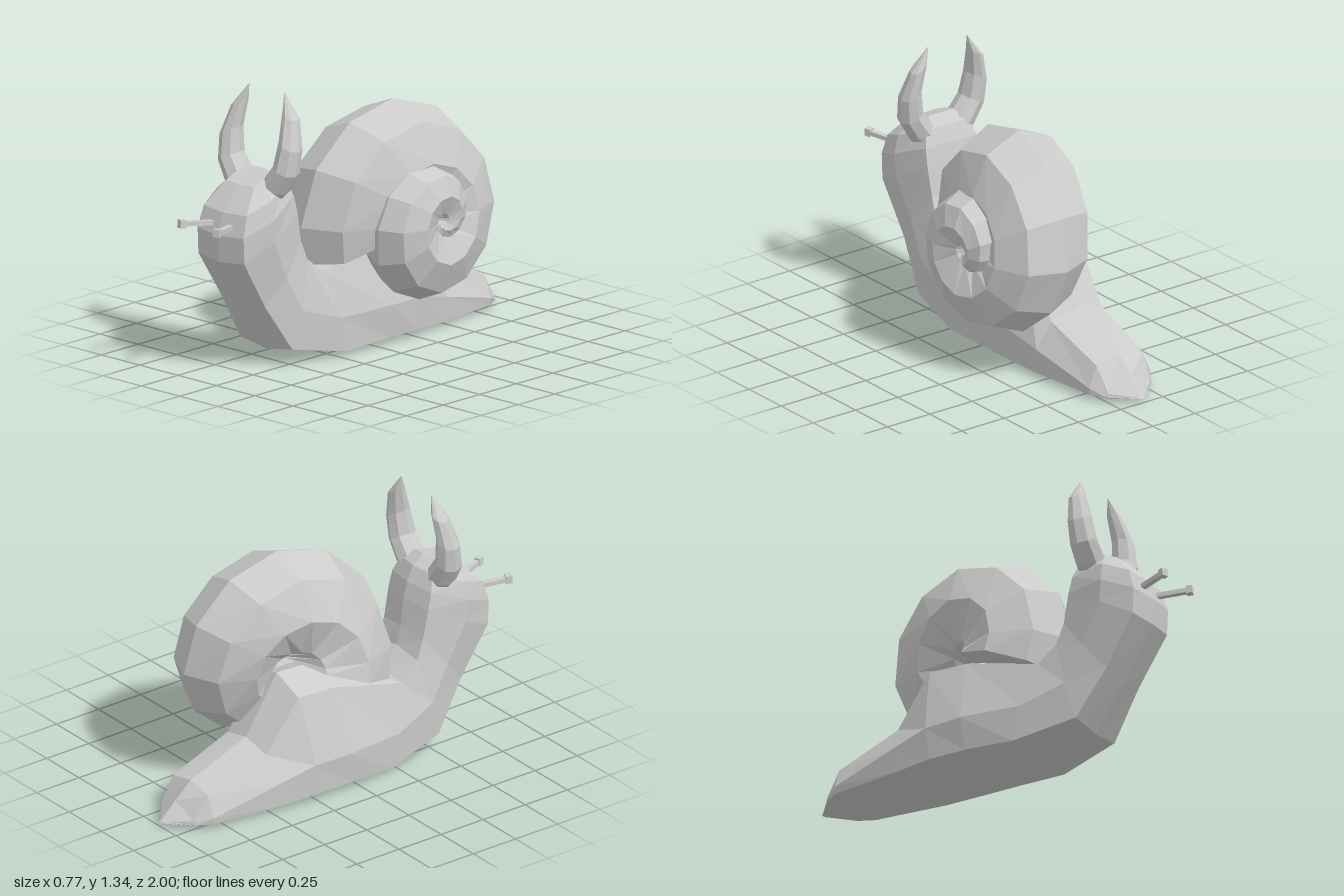
import * as THREE from 'three';

const material = new THREE.MeshStandardMaterial({ color: 0xcccccc, flatShading: true });

// Joins equal-sized rings of points into a closed, flat-shaded skin.
function loft(name, rings) {
  const n = rings[0].length, tris = [];
  for (let i = 0; i < rings.length - 1; i++) {
    for (let j = 0; j < n; j++) {
      const k = (j + 1) % n, a = rings[i], b = rings[i + 1];
      tris.push([a[j], a[k], b[k]], [a[j], b[k], b[j]]);
    }
  }
  const centre = (r) => r.reduce((s, p) => s.add(p), new THREE.Vector3()).divideScalar(n);
  const first = rings[0], last = rings[rings.length - 1];
  const c0 = centre(first), c1 = centre(last);
  for (let j = 0; j < n; j++) {
    const k = (j + 1) % n;
    tris.push([c0, first[k], first[j]], [c1, last[j], last[k]]);
  }
  // Turn the skin outwards if its enclosed volume is negative
  const cross = new THREE.Vector3();
  const volume = tris.reduce((s, [a, b, c]) => s + a.dot(cross.crossVectors(b, c)), 0);
  if (volume < 0) tris.forEach((t) => t.reverse());
  const geometry = new THREE.BufferGeometry().setFromPoints(tris.flat());
  geometry.computeVertexNormals();
  const mesh = new THREE.Mesh(geometry, material);
  mesh.name = name;
  return mesh;
}

// Body sections, tail to head: sole z, y; back z, y; half widths at sole, side, back;
// how far up the section the side and back edges lie
function createBody() {
  const sections = [
    [-1.0, 0.02, -0.99, 0.03, 0.01, 0.01, 0.01, 0.4, 0.9],
    [-0.89, 0.015, -0.91, 0.11, 0.13, 0.135, 0.125, 0.1, 0.3],
    [-0.82, 0.015, -0.82, 0.19, 0.175, 0.18, 0.135, 0.25, 0.84],
    [-0.45, 0.01, -0.49, 0.315, 0.22, 0.225, 0.15, 0.45, 0.88],
    [-0.25, 0.005, -0.31, 0.6, 0.24, 0.25, 0.16, 0.32, 0.88],
    [-0.05, 0.005, -0.1, 0.59, 0.24, 0.26, 0.165, 0.33, 0.88],
    [0.2, 0, 0.31, 0.43, 0.225, 0.225, 0.165, 0.45, 0.97],
    [0.53, 0.06, 0.4, 0.525, 0.17, 0.19, 0.155, 0.45, 0.95],
    [0.69, 0.3, 0.425, 0.62, 0.14, 0.178, 0.15, 0.45, 0.93],
    [0.85, 0.55, 0.445, 0.76, 0.15, 0.192, 0.155, 0.45, 0.93],
    [0.855, 0.68, 0.465, 0.84, 0.15, 0.195, 0.15, 0.45, 0.93],
    [0.82, 0.785, 0.5, 0.915, 0.14, 0.175, 0.125, 0.45, 0.93],
    [0.71, 0.9, 0.56, 0.955, 0.09, 0.095, 0.07, 0.45, 0.93],
  ];
  return loft('body', sections.map(([bz, by, tz, ty, wSole, wSide, wBack, tSide, tBack]) => {
    const at = (t, x) => new THREE.Vector3(x, by + (ty - by) * t, bz + (tz - bz) * t);
    return [at(0, 0), at(0.05, wSole), at(tSide, wSide), at(tBack, wBack),
      at(1, 0), at(tBack, -wBack), at(tSide, -wSide), at(0.05, -wSole)];
  }));
}

// Spiral shell: an octagonal tube that shrinks and drifts sideways as it winds in
function createShell() {
  const key = [-20, 90, 180, 270, 360, 450, 540, 630, 720];
  const outer = [0.555, 0.54, 0.49, 0.415, 0.33, 0.265, 0.165, 0.085, 0.02];
  const side = [-0.09, 0.0, 0.085, 0.17, 0.22, 0.25, 0.28, 0.3, 0.3];
  const sample = (values, angle) => {
    let i = 0;
    while (i < key.length - 2 && angle > key[i + 1]) i++;
    return THREE.MathUtils.mapLinear(angle, key[i], key[i + 1], values[i], values[i + 1]);
  };
  const rings = [];
  for (let angle = -30; angle <= 720; angle += 30) {
    const deg = Math.max(angle, -20), a = THREE.MathUtils.degToRad(deg);
    const reach = sample(outer, deg), x = sample(side, deg), r = reach * 0.5;
    rings.push(Array.from({ length: 8 }, (_, j) => {
      const t = (j * Math.PI) / 4, d = reach - r + r * Math.cos(t);
      return new THREE.Vector3(x + r * Math.sin(t), 0.62 + d * Math.sin(a), -0.205 + d * Math.cos(a));
    }));
  }
  return loft('shell', rings);
}

// Curved horn: rings as x, y, z, half width, half depth
function createHorn(s) {
  const rings = [
    [0.08, 0.84, 0.585, 0.055, 0.07],
    [0.118, 0.888, 0.58, 0.062, 0.075],
    [0.18, 0.98, 0.575, 0.056, 0.07],
    [0.193, 1.1, 0.56, 0.053, 0.06],
    [0.167, 1.235, 0.53, 0.042, 0.04],
    [0.115, 1.335, 0.52, 0.001, 0.001],
  ];
  return loft(s > 0 ? 'leftHorn' : 'rightHorn', rings.map(([x, y, z, w, d]) =>
    Array.from({ length: 8 }, (_, j) => {
      const t = (j * Math.PI) / 4, dx = w * Math.cos(t);
      return new THREE.Vector3(s * (x + dx), y - dx * 0.5, z + d * Math.sin(t));
    })));
}

// Thin eye stalk with a small block at its end
function createEyeStalk(s) {
  const group = new THREE.Group();
  group.name = s > 0 ? 'leftEyeStalk' : 'rightEyeStalk';
  const stalk = new THREE.Mesh(new THREE.BoxGeometry(0.028, 0.022, 0.2), material);
  stalk.name = 'stalk';
  stalk.position.z = 0.09;
  const eye = new THREE.Mesh(new THREE.BoxGeometry(0.034, 0.038, 0.03), material);
  eye.name = 'eye';
  eye.position.z = 0.18;
  group.add(stalk, eye);
  group.position.set(s * 0.055, 0.725, 0.81);
  group.rotation.set(-0.09, s * 0.34, 0);
  return group;
}

export function createModel() {
  const model = new THREE.Group();
  model.name = 'snail';
  const animal = new THREE.Group();
  animal.name = 'animal';
  animal.position.x = -0.13;
  animal.add(createBody());
  for (const s of [-1, 1]) animal.add(createHorn(s), createEyeStalk(s));
  model.add(animal, createShell());
  return model;
}
